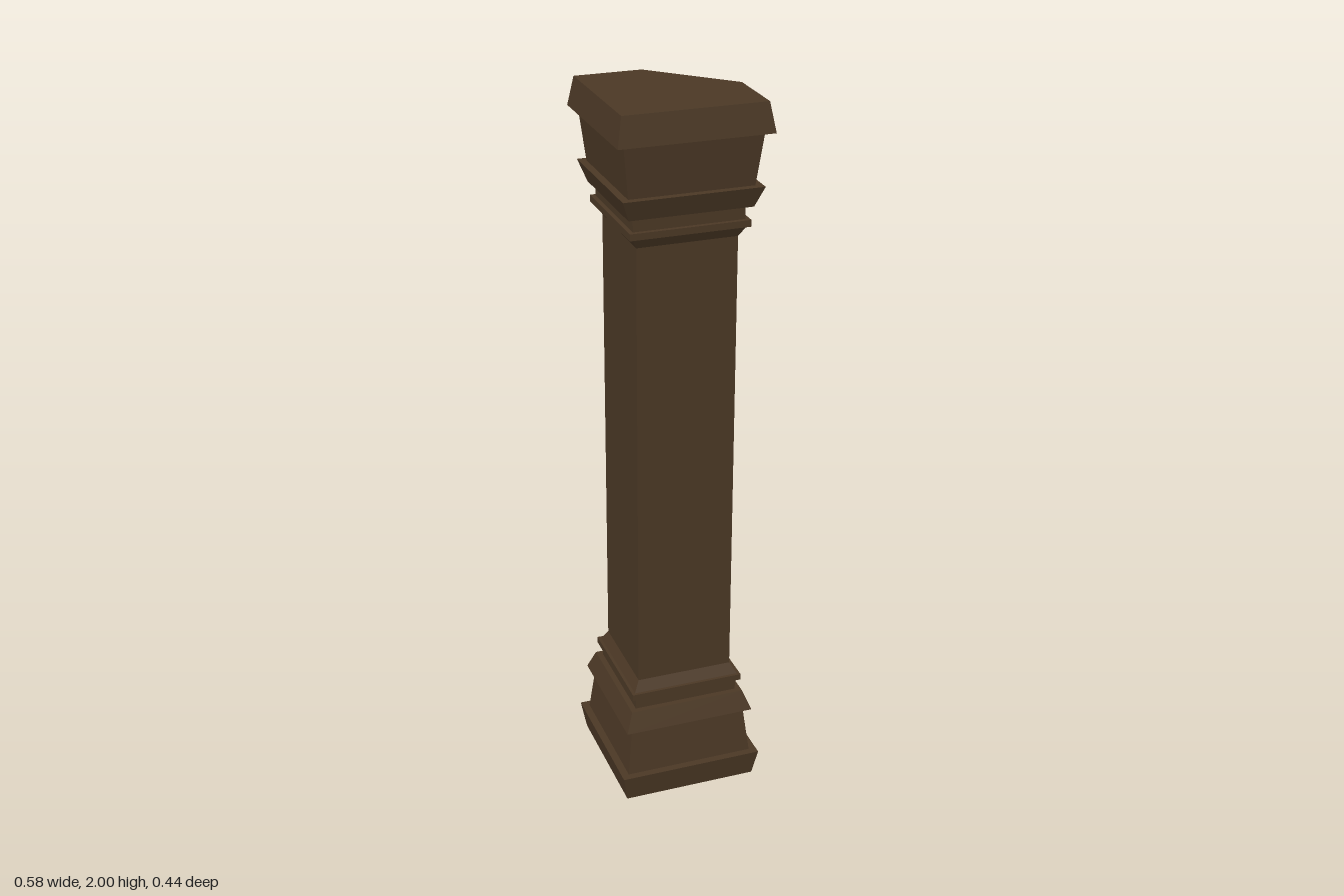
import * as THREE from 'three';

const HEIGHT = 2;

// Five-sided cross-section: point at the front, flat back of constant width
function section(w, y) {
  const z = -0.07, b = 0.14;
  return [[0, y, z + w], [w, y, z], [b, y, z - (w - b)], [-b, y, z - (w - b)], [-w, y, z]];
}

// Skins a list of [half-width, height] rings, bottom to top, with flat faces
function buildStack(profile, capBottom, capTop) {
  const rings = profile.map(([w, y]) => section(w, y));
  const pos = [];
  const tri = (a, b, c) => pos.push(...a, ...b, ...c);
  for (let r = 0; r < rings.length - 1; r++) {
    const lo = rings[r], hi = rings[r + 1];
    for (let i = 0; i < 5; i++) {
      const j = (i + 1) % 5;
      tri(lo[i], lo[j], hi[j]);
      tri(lo[i], hi[j], hi[i]);
    }
  }
  const first = rings[0], last = rings[rings.length - 1];
  for (let i = 1; i < 4; i++) {
    if (capBottom) tri(first[0], first[i + 1], first[i]);
    if (capTop) tri(last[0], last[i], last[i + 1]);
  }
  const geometry = new THREE.BufferGeometry();
  geometry.setAttribute('position', new THREE.Float32BufferAttribute(pos, 3));
  geometry.computeVertexNormals();
  return geometry;
}

export function createModel() {
  const group = new THREE.Group();
  const wood = new THREE.MeshStandardMaterial({ color: 0x4b3825 });
  wood.name = 'darkWood';

  const add = (name, geometry) => {
    const mesh = new THREE.Mesh(geometry, wood);
    mesh.name = name;
    group.add(mesh);
  };

  // Stepped moulding from the floor up to the shaft
  const moulding = [
    [0.27, 0], [0.29, 0.078],        // plinth
    [0.26, 0.078], [0.237, 0.218],   // tapered block
    [0.265, 0.218], [0.235, 0.274],  // sloped collar
    [0.212, 0.274], [0.212, 0.31],   // neck
    [0.229, 0.31], [0.229, 0.328],   // thin band
    [0.217, 0.328], [0.193, 0.358],  // bevel into the shaft
  ];
  const flipped = moulding.map(([w, y]) => [w, HEIGHT - y]).reverse();

  add('base', buildStack(moulding, true, false));
  add('shaft', buildStack([[0.193, 0.358], [0.193, HEIGHT - 0.358]], false, false));
  add('capital', buildStack(flipped, false, true));

  return group;
}
